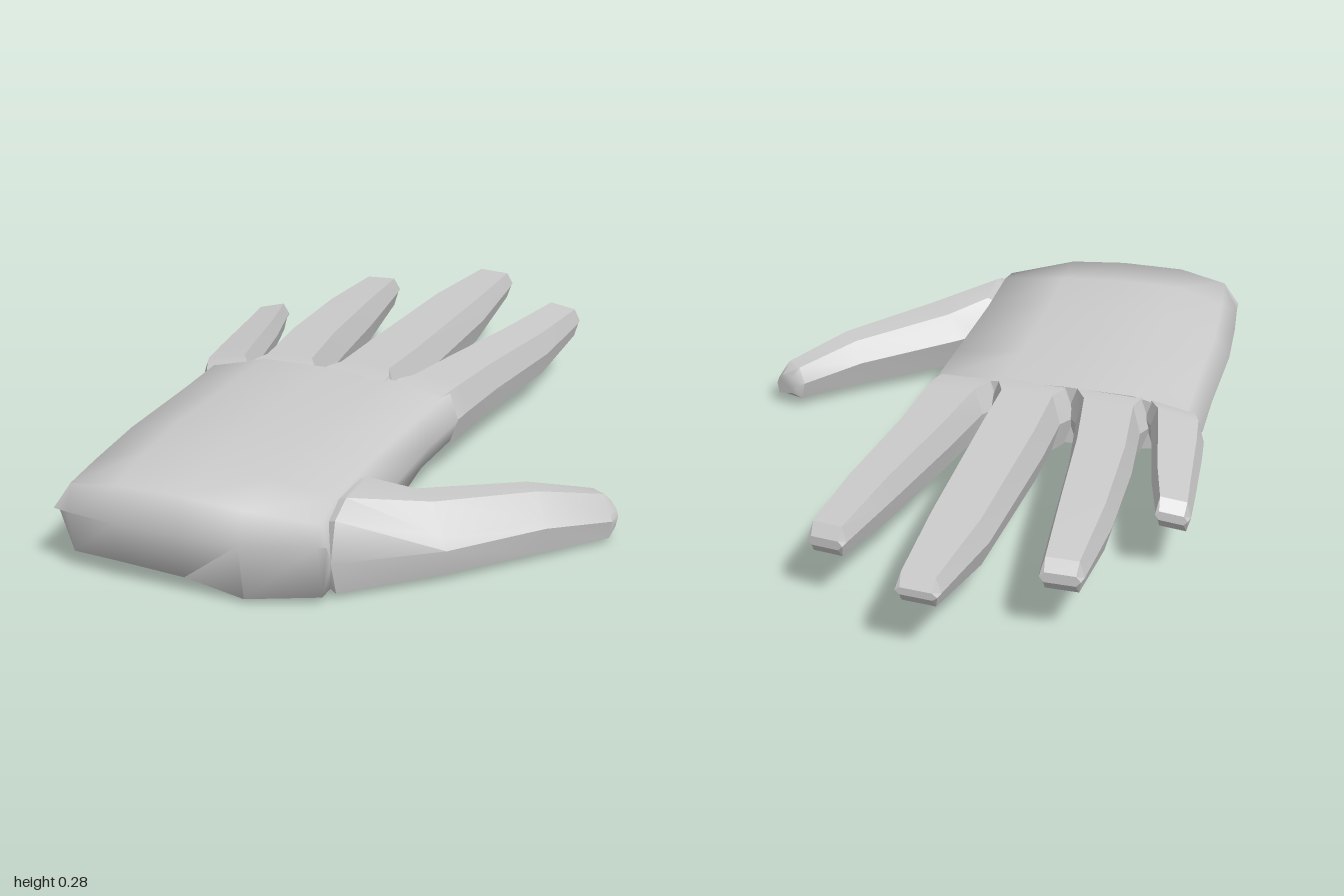
import * as THREE from 'three';
import { toCreasedNormals } from 'three/addons/utils/BufferGeometryUtils.js';

const material = new THREE.MeshStandardMaterial({ color: 0xcccccc });

// Skin over rings of points ordered tip to base, each ring anticlockwise seen from the base; the tip is capped
function loft(name, rings, crease) {
  const n = rings[0].length;
  const pos = rings.flat(2);
  const index = [];
  for (let s = 0; s < rings.length - 1; s++) {
    for (let i = 0; i < n; i++) {
      const j = (i + 1) % n;
      const a = s * n + i, b = s * n + j, c = b + n, d = a + n;
      index.push(a, b, c, a, c, d);
    }
  }
  const centre = pos.length / 3;
  for (let k = 0; k < 3; k++) pos.push(rings[0].reduce((sum, p) => sum + p[k], 0) / n);
  for (let i = 0; i < n; i++) index.push(centre, (i + 1) % n, i);

  const geometry = new THREE.BufferGeometry();
  geometry.setAttribute('position', new THREE.Float32BufferAttribute(pos, 3));
  geometry.setIndex(index);
  const mesh = new THREE.Mesh(toCreasedNormals(geometry, crease), material);
  mesh.name = name;
  return mesh;
}

// Palm cross-section: z, left x, right x, right edge y, top ys (right to left), left edge y, bottom ys (left to right)
function palmRing([z, xl, xr, yR, top, yL, bottom]) {
  const f = [0.97, 0.72, 0.5, 0.25, 0.06];
  const point = (t, y) => {
    const x = xl + (xr - xl) * t;
    // the wrist edge curves back towards both corners
    const bend = z > 0.9 ? Math.max(0, x + 0.07) * 0.36 + Math.max(0, -0.45 - x) * 0.2 : 0;
    return [x, y, z - bend];
  };
  return [
    point(1, yR), ...top.map((y, i) => point(f[i], y)),
    point(0, yL), ...bottom.map((y, i) => point(f[4 - i], y)),
  ];
}

// Six-sided finger cross-section: z, left x, right x, bottom y, top y
function fingerRing([z, xl, xr, yb, yt], tilt, skew) {
  const mid = yb + (yt - yb) * 0.5;
  const cx = (xl + xr) / 2;
  const shape = [[1, mid], [0.88, yt], [0.12, yt], [0, mid], [0.12, yb], [0.88, yb]];
  return shape.map(([t, y]) => {
    const x = xl + (xr - xl) * t;
    return [x, y + (x - cx) * tilt, z + (x - cx) * skew];
  });
}

function finger(name, sections, tilt, skew) {
  const [z, xl, xr, yb, yt] = sections[0];
  // blunt wedge that closes the fingertip
  const tip = [z - 0.025, xl + 0.004, xr - 0.004, yb + 0.03, yt - 0.03];
  const rings = [tip, ...sections].map((s, i) => fingerRing(s, tilt, i < 2 ? skew : 0));
  return loft(name, rings, 0.35);
}

// Thumb cross-section between an outer and an inner edge point on the ground plane,
// then bottom, outer edge, outer shoulder and top heights
function thumbRing([ox, oz, ix, iz, yb, ym, ys, yt]) {
  const inner = yb + (yt - yb) * 0.6;
  const shape = [
    [0, ym], [0.1, ys], [0.34, yt], [0.78, yt - 0.003],
    [1, inner], [0.85, yb + 0.015], [0.1, yb],
  ];
  return shape.map(([t, y]) => [ox + (ix - ox) * t, y, oz + (iz - oz) * t]);
}

export function createModel() {
  const hand = new THREE.Group();
  hand.name = 'hand';

  // Palm from the knuckles to the wrist, where the last ring closes to an edge
  const edge = Array(5).fill(0.17);
  const palm = [
    [0.06, -0.632, 0.157, 0.17, [0.245, 0.262, 0.268, 0.264, 0.228], 0.18, [0.125, 0.1, 0.095, 0.095, 0.105]],
    [0.25, -0.625, 0.148, 0.165, [0.25, 0.268, 0.273, 0.27, 0.23], 0.18, [0.115, 0.095, 0.09, 0.085, 0.1]],
    [0.575, -0.62, 0.14, 0.14, [0.25, 0.273, 0.28, 0.278, 0.235], 0.17, [0.08, 0.06, 0.045, 0.003, 0.025]],
    [0.8, -0.6, 0.145, 0.115, [0.247, 0.27, 0.28, 0.278, 0.238], 0.16, [0.06, 0.055, 0.048, 0.006, 0.018]],
    [0.975, -0.582, 0.15, 0.115, [0.222, 0.255, 0.266, 0.264, 0.24], 0.16, [0.05, 0.055, 0.045, 0.013, 0.022]],
    [1, -0.582, 0.15, 0.17, edge, 0.17, edge],
  ];
  hand.add(loft('palm', palm.map(palmRing), 1.4));

  // Fingers from tip to root
  hand.add(finger('indexFinger', [
    [-0.775, 0.12, 0.229, 0.14, 0.225],
    [-0.52, 0.078, 0.215, 0.105, 0.235],
    [-0.2, 0.015, 0.174, 0.1, 0.247],
    [0, -0.02, 0.16, 0.098, 0.256],
    [0.05, -0.052, 0.157, 0.097, 0.257],
    [0.14, -0.055, 0.135, 0.12, 0.245],
  ], -0.06, 0.23));
  hand.add(finger('middleFinger', [
    [-0.97, -0.182, -0.063, 0.155, 0.235],
    [-0.68, -0.222, -0.05, 0.11, 0.245],
    [-0.2, -0.242, -0.048, 0.098, 0.258],
    [0, -0.243, -0.052, 0.096, 0.266],
    [0.05, -0.272, -0.024, 0.095, 0.267],
    [0.14, -0.275, -0.02, 0.11, 0.257],
  ], 0, 0.1));
  hand.add(finger('ringFinger', [
    [-0.795, -0.494, -0.381, 0.14, 0.228],
    [-0.52, -0.503, -0.35, 0.108, 0.245],
    [-0.22, -0.492, -0.32, 0.1, 0.257],
    [0.01, -0.467, -0.285, 0.097, 0.263],
    [0.06, -0.487, -0.248, 0.097, 0.264],
    [0.14, -0.487, -0.245, 0.11, 0.252],
  ], 0.04, -0.05));
  hand.add(finger('littleFinger', [
    [-0.43, -0.689, -0.598, 0.145, 0.23],
    [-0.28, -0.676, -0.556, 0.132, 0.234],
    [-0.08, -0.656, -0.516, 0.126, 0.238],
    [0.03, -0.642, -0.492, 0.12, 0.241],
    [0.065, -0.632, -0.465, 0.12, 0.241],
    [0.15, -0.585, -0.47, 0.14, 0.215],
  ], 0.22, -0.2));

  // Thumb from tip to the heel of the palm
  const thumb = [
    [0.688, 0.268, 0.618, 0.235, 0.035, 0.065, 0.085, 0.1],
    [0.685, 0.31, 0.592, 0.242, 0.016, 0.068, 0.088, 0.132],
    [0.56, 0.475, 0.45, 0.358, 0.024, 0.098, 0.122, 0.18],
    [0.375, 0.695, 0.21, 0.553, 0.024, 0.1, 0.13, 0.206],
    [0.15, 0.898, 0.135, 0.577, 0.018, 0.115, 0.218, 0.247],
    [0.08, 0.87, 0.07, 0.6, 0.05, 0.12, 0.19, 0.22],
  ];
  hand.add(loft('thumb', thumb.map(thumbRing), 0.7));

  return hand;
}
